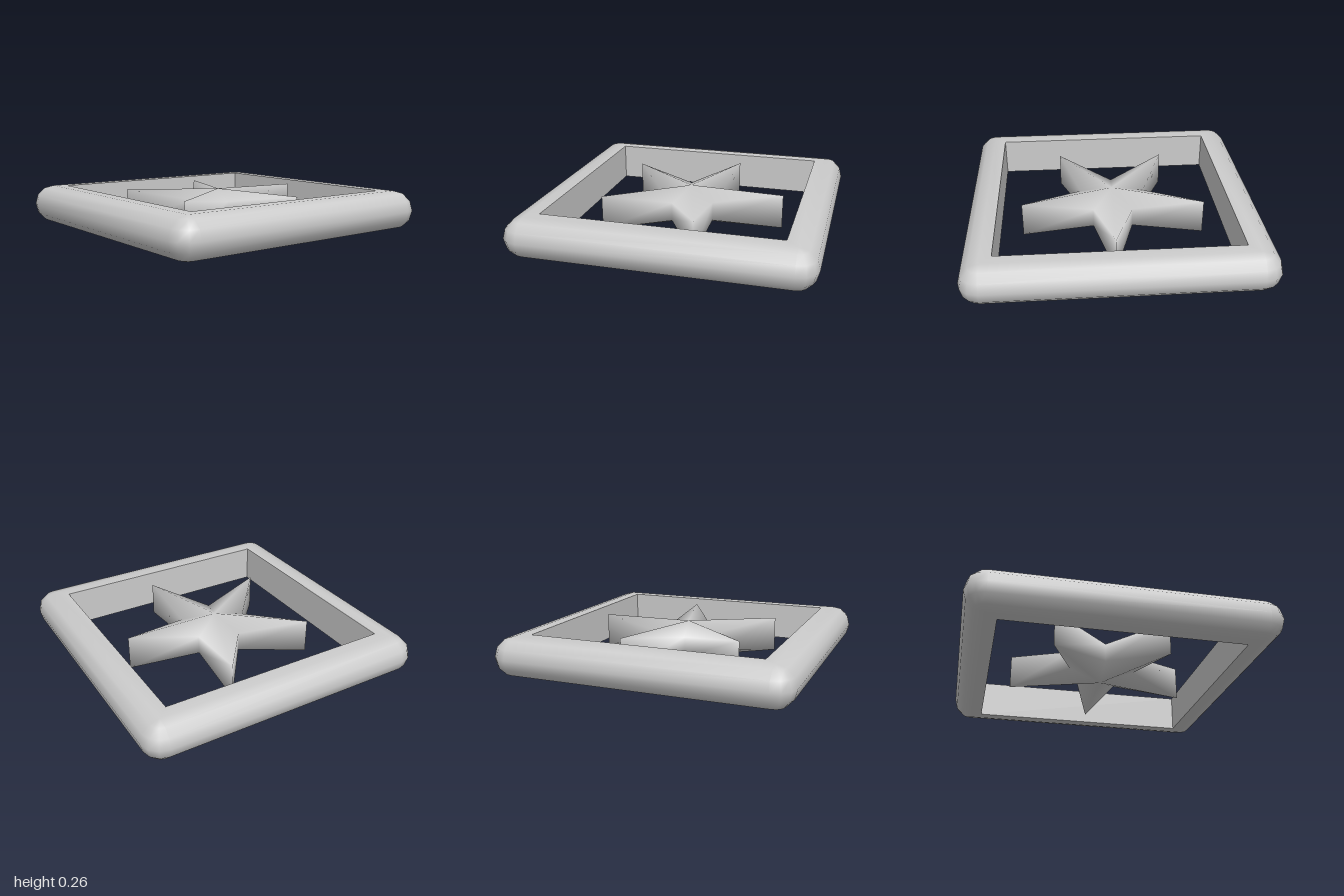
import * as THREE from 'three';
import { toCreasedNormals } from 'three/addons/utils/BufferGeometryUtils.js';

const H = 0.265, R = H / 2;
const material = new THREE.MeshStandardMaterial({ color: 0xcccccc, side: THREE.DoubleSide });

function makeGeometry(positions, index) {
  const g = new THREE.BufferGeometry();
  g.setAttribute('position', new THREE.Float32BufferAttribute(positions, 3));
  g.setIndex(index);
  return g;
}

// Closed outline of a square with rounded corners, at height y
function roundedSquare(half, radius, y, steps = 3) {
  const points = [];
  for (let corner = 0; corner < 4; corner++) {
    const mid = (corner + 0.5) * Math.PI / 2;
    for (let s = 0; s <= steps; s++) {
      const a = (corner + s / steps) * Math.PI / 2;
      points.push([
        Math.sign(Math.cos(mid)) * half + radius * Math.cos(a), y,
        Math.sign(Math.sin(mid)) * half + radius * Math.sin(a),
      ]);
    }
  }
  return points;
}

// Square frame: half-round outside, straight walls inside
function createFrame() {
  const loops = [roundedSquare(0.79, 0, 0)];
  for (let k = -3; k <= 3; k++) {
    const a = k * Math.PI / 6;
    loops.push(roundedSquare(1 - R, R * Math.cos(a), R + R * Math.sin(a)));
  }
  loops.push(roundedSquare(0.79, 0, H), roundedSquare(0.79, 0, 0));
  const n = loops[0].length, index = [];
  for (let i = 0; i < loops.length - 1; i++) {
    for (let j = 0; j < n; j++) {
      const k = (j + 1) % n;
      const a = i * n + j, b = i * n + k, c = a + n, d = b + n;
      index.push(a, c, b, b, c, d);
    }
  }
  const mesh = new THREE.Mesh(toCreasedNormals(makeGeometry(loops.flat(2), index), 0.9), material);
  mesh.name = 'frame';
  return mesh;
}

// Star: full height at tips and centre, thinner at the notches
function createStar() {
  const outline = [
    [0.63, -0.18], [0.22, 0.08], [0.36, 0.54], [-0.01, 0.23], [-0.41, 0.51],
    [-0.23, 0.06], [-0.62, -0.23], [-0.13, -0.2], [0.02, -0.66], [0.14, -0.19],
  ];
  const n = outline.length, positions = [], index = [];
  for (const side of [-1, 1]) {
    outline.forEach(([x, z], j) => positions.push(x, R + side * (j % 2 ? 0.065 : 0.12), z));
  }
  positions.push(0, R - 0.13, 0, 0, R + 0.13, 0);
  for (let j = 0; j < n; j++) {
    const k = (j + 1) % n;
    index.push(j, j + n, k, k, j + n, k + n); // side wall
    index.push(2 * n, j, k, 2 * n + 1, k + n, j + n); // bottom and top
  }
  const geometry = makeGeometry(positions, index);
  geometry.computeVertexNormals();
  const mesh = new THREE.Mesh(geometry, material);
  mesh.name = 'star';
  return mesh;
}

export function createModel() {
  const group = new THREE.Group();
  group.name = 'framedStar';
  group.add(createFrame(), createStar());
  return group;
}
